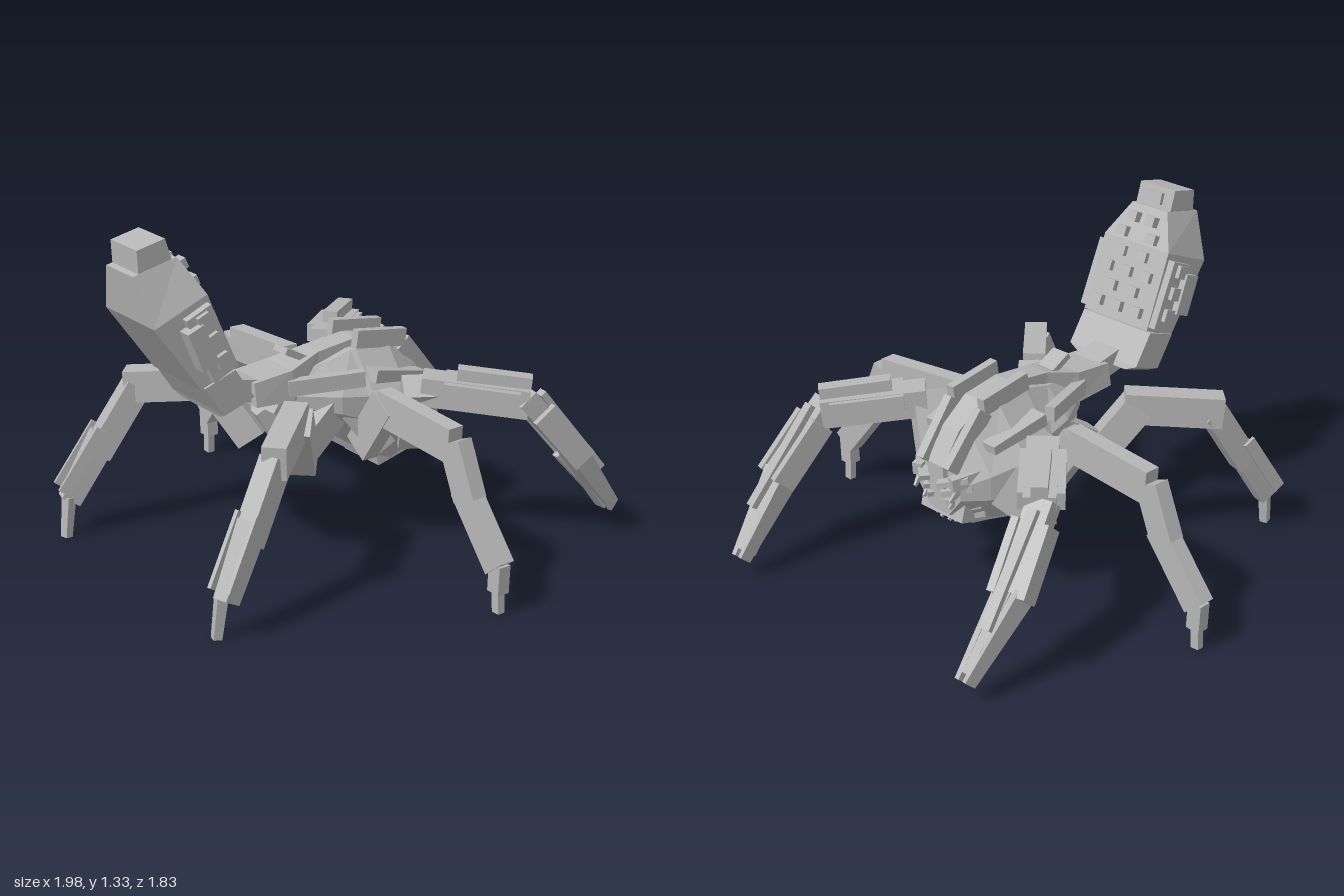
import * as THREE from 'three';

const grey = new THREE.MeshStandardMaterial({ color: 0xb6b6b6 });
grey.name = 'stoneGrey';
const V = (x, y, z) => new THREE.Vector3(x, y, z);

// Flat-faced solid through a series of rings with equal point counts
function loft(parent, name, rings) {
  const n = rings[0].length, tris = [];
  for (let i = 0; i < rings.length - 1; i++) {
    for (let j = 0; j < n; j++) {
      const k = (j + 1) % n, A = rings[i], B = rings[i + 1];
      tris.push([A[j], A[k], B[k]], [A[j], B[k], B[j]]);
    }
  }
  const last = rings[rings.length - 1];
  for (let j = 1; j < n - 1; j++) {
    tris.push([rings[0][0], rings[0][j + 1], rings[0][j]], [last[0], last[j], last[j + 1]]);
  }
  // Turn every face outward
  let volume = 0;
  for (const [a, b, c] of tris) volume += a.dot(b.clone().cross(c));
  const pts = tris.flatMap(([a, b, c]) => (volume < 0 ? [a, c, b] : [a, b, c]));
  const g = new THREE.BufferGeometry().setFromPoints(pts);
  g.computeVertexNormals();
  const m = new THREE.Mesh(g, grey);
  m.name = name;
  parent.add(m);
}

// Four-sided beam from a to b; taper scales its far end, up and side shift it
function beam(parent, name, a, b, w, h, { taper = 1, up = 0, side = 0 } = {}) {
  const d = b.clone().sub(a).normalize();
  const sv = d.clone().cross(V(0, 1, 0)).normalize();
  const uv = sv.clone().cross(d);
  const ring = (c, k) => [[-1, -1], [1, -1], [1, 1], [-1, 1]].map(([i, j]) =>
    c.clone().addScaledVector(sv, side + i * w * k / 2).addScaledVector(uv, up + j * h * k / 2));
  loft(parent, name, [ring(a, 1), ring(b, taper)]);
}

function makeBody(root) {
  const body = new THREE.Group();
  body.name = 'body';
  // Eight-sided sections: z, half width, bottom, top
  const octagon = (z, w, lo, hi) => [[0.45, 0], [1, 0.35], [1, 0.6], [0.4, 1]]
    .map(([x, t]) => V(x * w, lo + (hi - lo) * t, z))
    .concat([[0.4, 1], [1, 0.6], [1, 0.35], [0.45, 0]].map(([x, t]) => V(-x * w, lo + (hi - lo) * t, z)));
  loft(body, 'thorax', [
    octagon(0.25, 0.085, 0.54, 0.70), octagon(0.08, 0.18, 0.46, 0.73), octagon(-0.03, 0.2, 0.38, 0.76),
    octagon(-0.05, 0.22, 0.34, 0.76), octagon(-0.2, 0.24, 0.29, 0.75),
    octagon(-0.33, 0.18, 0.30, 0.68), octagon(-0.42, 0.11, 0.36, 0.58)]);

  // Dorsal spine: z, half width, bottom, top
  loft(body, 'spine', [[0.41, 0.1, 0.63, 0.72], [0.24, 0.1, 0.62, 0.735],
    [0.1, 0.06, 0.62, 0.77], [-0.08, 0.055, 0.6, 0.79], [-0.24, 0.055, 0.58, 0.765],
    [-0.36, 0.05, 0.5, 0.68], [-0.44, 0.045, 0.45, 0.56]]
    .map(([z, w, lo, hi]) => [V(-w, lo, z), V(w, lo, z), V(w * 0.85, hi, z), V(-w * 0.85, hi, z)]));
  beam(body, 'backFlap', V(0, 0.75, 0.15), V(0, 0.795, 0.235), 0.08, 0.025);
  beam(body, 'tailJoint', V(0, 0.675, 0.36), V(0, 0.71, 0.53), 0.13, 0.085);
  beam(body, 'belly', V(0, 0.33, -0.13), V(0, 0.40, -0.40), 0.22, 0.12);
  beam(body, 'keel', V(0, 0.43, 0.02), V(0, 0.6, 0.27), 0.08, 0.09);

  for (const s of [-1, 1]) {
    // Raised rails beside the spine
    beam(body, 'backRail', V(s * 0.08, 0.8, -0.05), V(s * 0.08, 0.765, -0.28), 0.035, 0.07);
    beam(body, 'browRail', V(s * 0.08, 0.745, -0.27), V(s * 0.07, 0.55, -0.43), 0.035, 0.07);
    beam(body, 'shoulderPlate', V(s * 0.16, 0.68, -0.06), V(s * 0.15, 0.63, -0.31), 0.09, 0.05, { taper: 0.7 });
    beam(body, 'waistStrut', V(s * 0.18, 0.68, -0.02), V(s * 0.08, 0.67, 0.26), 0.04, 0.06);
    beam(body, 'hip', V(s * 0.1, 0.56, 0.08), V(s * 0.14, 0.46, 0.24), 0.11, 0.12);
    beam(body, 'sideRib', V(s * 0.15, 0.56, 0.02), V(s * 0.19, 0.39, -0.1), 0.07, 0.1);

    // Face slats and fangs
    for (let i = 0; i < 5; i++) {
      const y = 0.34 + i * 0.042, z = -0.34 - i * 0.021;
      beam(body, 'faceSlat', V(s * 0.13, y + 0.02, z + 0.03), V(s * 0.035, y - 0.01, z - 0.04), 0.04, 0.022);
      if (i < 4) beam(body, 'fang', V(s * (0.03 + i * 0.025), y + 0.03, z),
        V(s * (0.02 + i * 0.025), y - 0.025, z - 0.055), 0.02, 0.035, { taper: 0.4 });
    }
    beam(body, 'cheek', V(s * 0.14, 0.53, -0.3), V(s * 0.09, 0.51, -0.45), 0.04, 0.05);
  }
  root.add(body);
}

function makeTail(root) {
  const tail = new THREE.Group();
  tail.name = 'tail';
  // Each section joins an outer point to an inner point, both (z, y)
  const slab = (w, [fz, fy], [bz, by]) => [V(-w, fy, fz), V(w, fy, fz), V(w, by, bz), V(-w, by, bz)];
  loft(tail, 'tailStem', [slab(0.125, [0.59, 0.645], [0.46, 0.69]), slab(0.175, [0.6, 0.665], [0.47, 0.71]),
    slab(0.175, [0.68, 0.785], [0.55, 0.83])]);
  loft(tail, 'tailBulb', [slab(0.165, [0.685, 0.775], [0.54, 0.84]), slab(0.165, [0.875, 1.04], [0.655, 1.13]),
    slab(0.09, [0.91, 1.22], [0.73, 1.26])]);
  loft(tail, 'tailCap', [slab(0.088, [0.885, 1.21], [0.745, 1.24]), slab(0.088, [0.89, 1.31], [0.775, 1.335])]);
  beam(tail, 'capStud', V(0, 1.27, 0.755), V(0, 1.315, 0.768), 0.08, 0.03);

  // Staggered studs over the inner face
  const stud = (name, x, y, z, w, h, d) => {
    const m = new THREE.Mesh(new THREE.BoxGeometry(w, h, d), grey);
    m.position.set(x, y, z);
    m.rotation.x = 0.4;
    m.name = name;
    tail.add(m);
  };
  for (let r = 0; r < 4; r++) {
    for (const x of r % 2 ? [-0.055, 0.055] : [-0.1, 0, 0.1]) {
      stud('tailStud', x, 0.89 + r * 0.065, 0.565 + r * 0.028, 0.045, 0.04, 0.06);
    }
  }
  for (let r = 0; r < 2; r++) {
    for (const s of [-1, 1]) stud('upperStud', s * (0.075 - r * 0.03), 1.155 + r * 0.06, 0.675 + r * 0.027, 0.045, 0.04, 0.06);
  }
  // Side bands with a raised plate and square studs
  for (const s of [-1, 1]) {
    beam(tail, 'sideBand', V(s * 0.17, 0.83, 0.6), V(s * 0.17, 1.08, 0.71), 0.05, 0.11);
    beam(tail, 'sidePlate', V(s * 0.19, 0.88, 0.68), V(s * 0.19, 1.03, 0.74), 0.065, 0.07);
    for (let r = 0; r < 3; r++) stud('sideStud', s * 0.195, 0.89 + r * 0.08, 0.62 + r * 0.037, 0.035, 0.05, 0.05);
  }
  root.add(tail);
}

function makeLegs(root, s) {
  const P = (x, y, z) => V(s * x, y, z);
  const group = (name) => {
    const g = new THREE.Group();
    g.name = (s > 0 ? 'left' : 'right') + name;
    root.add(g);
    return g;
  };

  // Middle leg, straight out to the side
  const mid = group('MiddleLeg');
  beam(mid, 'coxa', P(0.17, 0.4, -0.02), P(0.33, 0.63, -0.02), 0.07, 0.12);
  beam(mid, 'femur', P(0.3, 0.605, -0.02), P(0.7, 0.575, -0.035), 0.065, 0.135);
  beam(mid, 'upperShin', P(0.7, 0.59, -0.035), P(0.785, 0.39, -0.04), 0.065, 0.11);
  beam(mid, 'lowerShin', P(0.755, 0.425, -0.04), P(0.95, 0.185, -0.045), 0.065, 0.1);
  beam(mid, 'ankle', P(0.95, 0.2, -0.045), P(0.945, 0.09, -0.045), 0.05, 0.06);
  beam(mid, 'foot', P(0.945, 0.1, -0.045), P(0.95, 0.01, -0.045), 0.03, 0.035);

  // Leg on the tail side
  const rear = group('RearLeg');
  beam(rear, 'coxa', P(0.16, 0.4, 0.25), P(0.28, 0.62, 0.36), 0.11, 0.12);
  beam(rear, 'femur', P(0.24, 0.62, 0.33), P(0.5, 0.59, 0.61), 0.09, 0.125);
  beam(rear, 'upperShin', P(0.47, 0.59, 0.58), P(0.52, 0.33, 0.74), 0.08, 0.1);
  beam(rear, 'lowerShin', P(0.51, 0.4, 0.71), P(0.55, 0.15, 0.85), 0.075, 0.1, { taper: 0.8 });
  for (const k of [-1, 1]) {
    beam(rear, 'shinFin', P(0.51, 0.42, 0.7), P(0.555, 0.18, 0.85), 0.015, 0.05, { up: 0.03, side: k * 0.042 });
  }
  beam(rear, 'foot', P(0.535, 0.17, 0.86), P(0.53, 0.01, 0.88), 0.04, 0.04, { taper: 0.8 });

  // Long reaching leg on the head side
  const front = group('FrontLeg');
  beam(front, 'coxa', P(0.19, 0.39, -0.25), P(0.33, 0.66, -0.17), 0.13, 0.11);
  beam(front, 'femur', P(0.31, 0.645, -0.19), P(0.58, 0.605, -0.49), 0.12, 0.11);
  beam(front, 'femurPlate', P(0.4, 0.64, -0.28), P(0.58, 0.61, -0.49), 0.06, 0.05, { up: 0.068 });
  beam(front, 'upperShin', P(0.575, 0.63, -0.46), P(0.63, 0.37, -0.68), 0.1, 0.08);
  beam(front, 'lowerShin', P(0.625, 0.4, -0.65), P(0.615, 0.12, -0.87), 0.05, 0.07);
  for (const k of [-1, 1]) {
    beam(front, 'femurRail', P(0.37, 0.64, -0.25), P(0.56, 0.61, -0.46), 0.03, 0.07, { up: 0.015, side: k * 0.07 });
    beam(front, 'shinRail', P(0.59, 0.57, -0.52), P(0.635, 0.36, -0.69), 0.03, 0.1, { side: k * 0.06 });
    // Claws close together at the tip
    beam(front, 'claw', P(0.63 + k * 0.045, 0.38, -0.66), P(0.615 + k * 0.02, 0.1, -0.895), 0.03, 0.09, { taper: 0.6 });
  }
  beam(front, 'shinPlate', P(0.59, 0.6, -0.49), P(0.63, 0.25, -0.77), 0.04, 0.025, { up: 0.055 });
}

export function createModel() {
  const root = new THREE.Group();
  root.name = 'walker';
  makeBody(root);
  makeTail(root);
  for (const s of [-1, 1]) makeLegs(root, s);
  return root;
}
